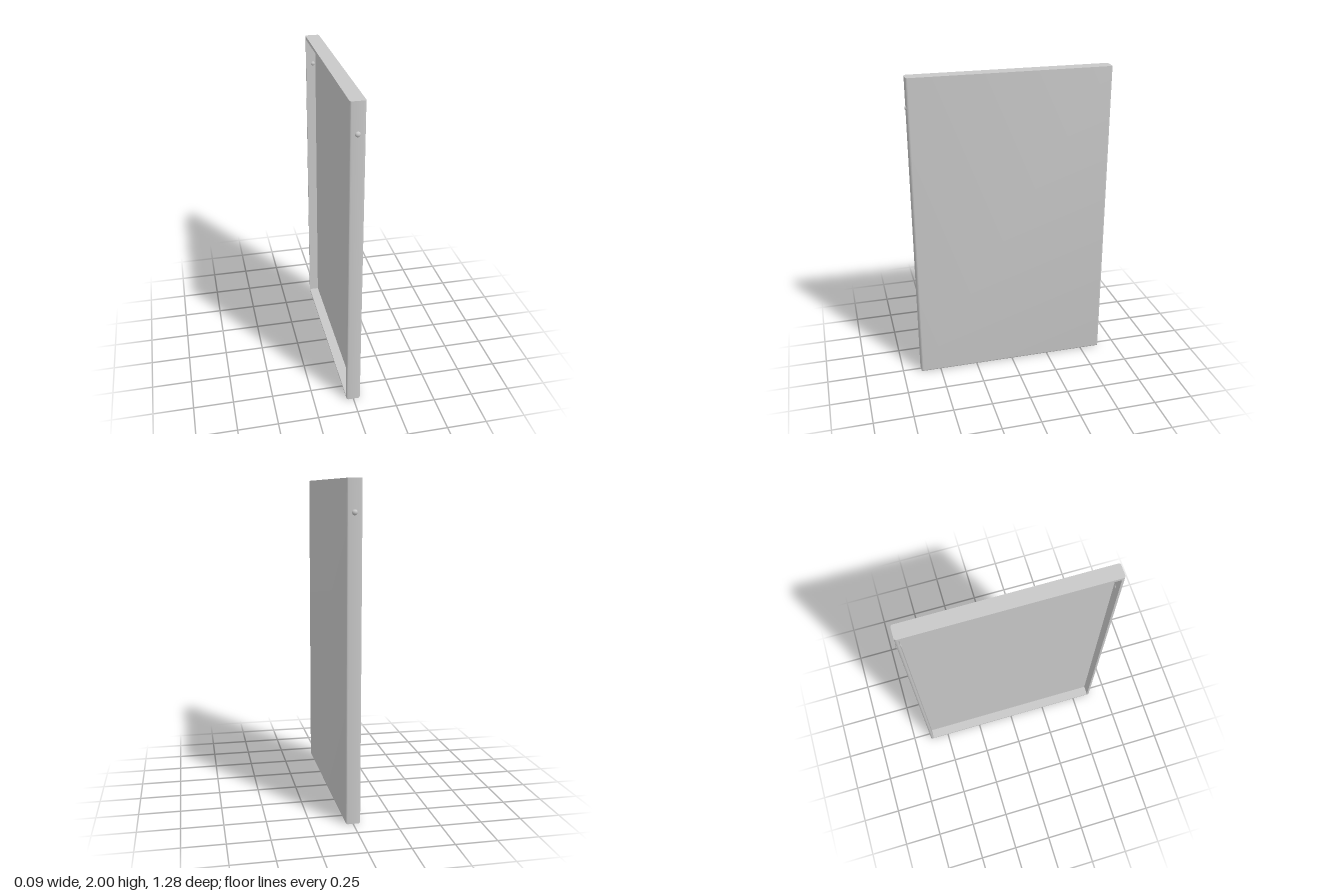
import * as THREE from 'three';
import { toCreasedNormals } from 'three/addons/utils/BufferGeometryUtils.js';

const HALF_X = 0.045, HALF_Z = 0.63, HEIGHT = 2;
const ROUND = 0.012, RIM = 0.02, FLOOR_X = 0.017;

// Rectangular loop at depth x, counter-clockwise seen from +x
function loop(x, inset, topInset) {
  const z = HALF_Z - inset, top = HEIGHT - topInset;
  return [[x, inset, z], [x, inset, -z], [x, top, -z], [x, top, z]];
}

// Hollow panel: loops run over the closed face, round the sides and into the recess
function panelGeometry() {
  const loops = [], steps = 4;
  for (const side of [1, -1]) {
    for (let i = 0; i <= steps; i++) {
      const a = (side > 0 ? i : steps - i) / steps * Math.PI / 2;
      const x = side * (HALF_X - ROUND + ROUND * Math.cos(a));
      loops.push(loop(x, ROUND * (1 - Math.sin(a)), 0));
    }
  }
  loops.push(loop(-HALF_X, RIM, RIM), loop(FLOOR_X, RIM, RIM));

  const points = [];
  const add = (...corners) => corners.forEach((c) => points.push(...c));
  for (let i = 0; i < loops.length - 1; i++) {
    const p = loops[i], q = loops[i + 1];
    for (let j = 0; j < 4; j++) {
      const k = (j + 1) % 4;
      add(p[j], q[j], p[k], p[k], q[j], q[k]);
    }
  }
  const [a, b, c, d] = loops[0];
  add(a, b, c, a, c, d);
  const [e, f, g, h] = loops[loops.length - 1];
  add(e, g, f, e, h, g);

  const geometry = new THREE.BufferGeometry();
  geometry.setAttribute('position', new THREE.Float32BufferAttribute(points, 3));
  return toCreasedNormals(geometry, Math.PI / 6);
}

export function createModel() {
  const group = new THREE.Group();
  group.name = 'hollowPanel';
  const grey = new THREE.MeshStandardMaterial({ color: 0xc8c8c8 });
  grey.name = 'lightGrey';

  const panel = new THREE.Mesh(panelGeometry(), grey);
  panel.name = 'panelTray';
  group.add(panel);

  // Round pivot pins on the two narrow ends
  for (const side of [1, -1]) {
    const pin = new THREE.Mesh(new THREE.SphereGeometry(0.018, 24, 16), grey);
    pin.name = side > 0 ? 'frontPin' : 'backPin';
    pin.position.set(0, 1.815, side * (HALF_Z - 0.008));
    group.add(pin);
  }
  return group;
}
